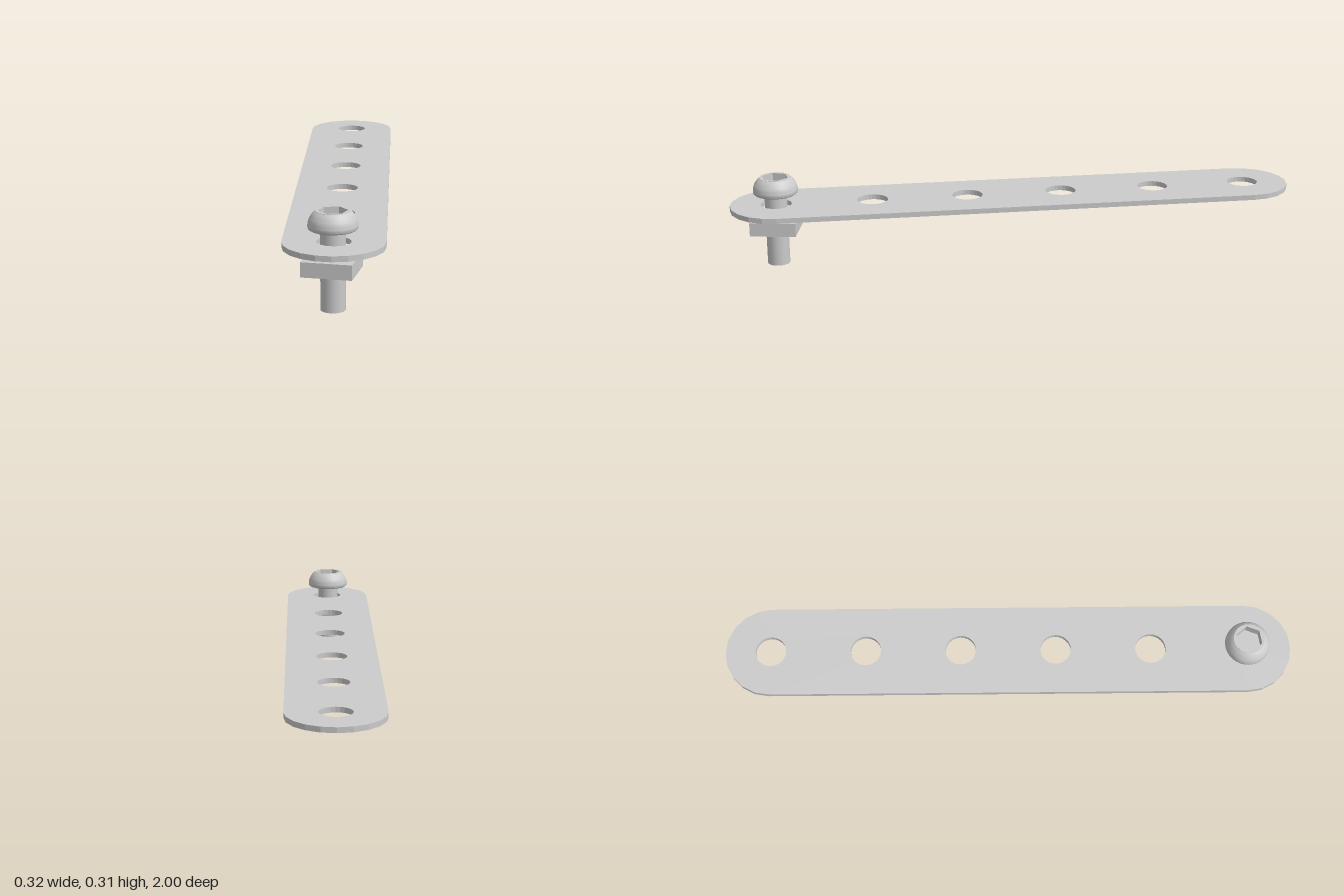
import * as THREE from 'three';
import { toCreasedNormals } from 'three/addons/utils/BufferGeometryUtils.js';

const material = new THREE.MeshStandardMaterial({ color: 0xcccccc });
const BOLT_X = -0.003, BOLT_Z = 0.84;

function addMesh(parent, name, geometry) {
  const mesh = new THREE.Mesh(geometry, material);
  mesh.name = name;
  parent.add(mesh);
  return mesh;
}

// Points along an arc in the plane, ends included
function arc(cx, cy, r, from, to, steps) {
  return Array.from({ length: steps + 1 }, (_, i) => {
    const a = from + (to - from) * i / steps;
    return new THREE.Vector2(cx + r * Math.cos(a), cy + r * Math.sin(a));
  });
}

// Closed polygon with n sides
const ring = (cx, cy, r, n, turn = 0) => arc(cx, cy, r, turn, turn + Math.PI * 2, n).slice(0, n);

// Extrude a shape drawn in x/z so that it lies flat, from y to y + depth
function slab(shape, y, depth) {
  return new THREE.ExtrudeGeometry(shape, { depth, bevelEnabled: false })
    .rotateX(-Math.PI / 2).translate(0, y, 0);
}

export function createModel() {
  const model = new THREE.Group();
  model.name = 'boltedStrip';

  // Flat strip with round ends and six evenly spaced holes
  const outline = new THREE.Shape([
    ...arc(0, 0.84, 0.16, 0, Math.PI, 10),
    ...arc(0, -0.84, 0.16, Math.PI, Math.PI * 2, 10),
  ]);
  for (let i = 0; i < 6; i++) {
    outline.holes.push(new THREE.Path(ring(0, -0.84 + i * 0.336, 0.054, 24)));
  }
  addMesh(model, 'strip', slab(outline, 0.199, 0.018));

  // Bolt through the front hole
  const bolt = new THREE.Group();
  bolt.name = 'bolt';
  bolt.position.set(BOLT_X, 0, BOLT_Z);
  model.add(bolt);

  addMesh(bolt, 'shaft', new THREE.CylinderGeometry(0.039, 0.039, 0.265, 20).translate(0, 0.1325, 0));

  // Button head: flat underside, small rounded lip, domed side
  const domeR = 0.0618, domeX = 0.0162;
  const profile = [
    new THREE.Vector2(0.03, 0.2555),
    ...arc(0.0685, 0.265, 0.0095, -Math.PI / 2, 0, 4),
    ...arc(domeX, 0.265, domeR, 0, Math.asin(0.05 / domeR), 8).slice(1),
  ];
  addMesh(bolt, 'head', toCreasedNormals(new THREE.LatheGeometry(profile, 32), 0.7));

  // Flat top with a hexagonal socket
  const top = new THREE.Shape(ring(0, 0, 0.0537, 32));
  top.holes.push(new THREE.Path(ring(0, 0, 0.047, 6, 0.15)));
  addMesh(bolt, 'socket', slab(top, 0.277, 0.038));
  addMesh(bolt, 'socketFloor', new THREE.CylinderGeometry(0.052, 0.052, 0.01, 24).translate(0, 0.273, 0));

  // Square nut, slightly turned
  const nut = addMesh(model, 'nut', new THREE.BoxGeometry(0.16, 0.048, 0.16));
  nut.position.set(-0.006, 0.146, 0.842);
  nut.rotation.y = -0.183;

  return model;
}
